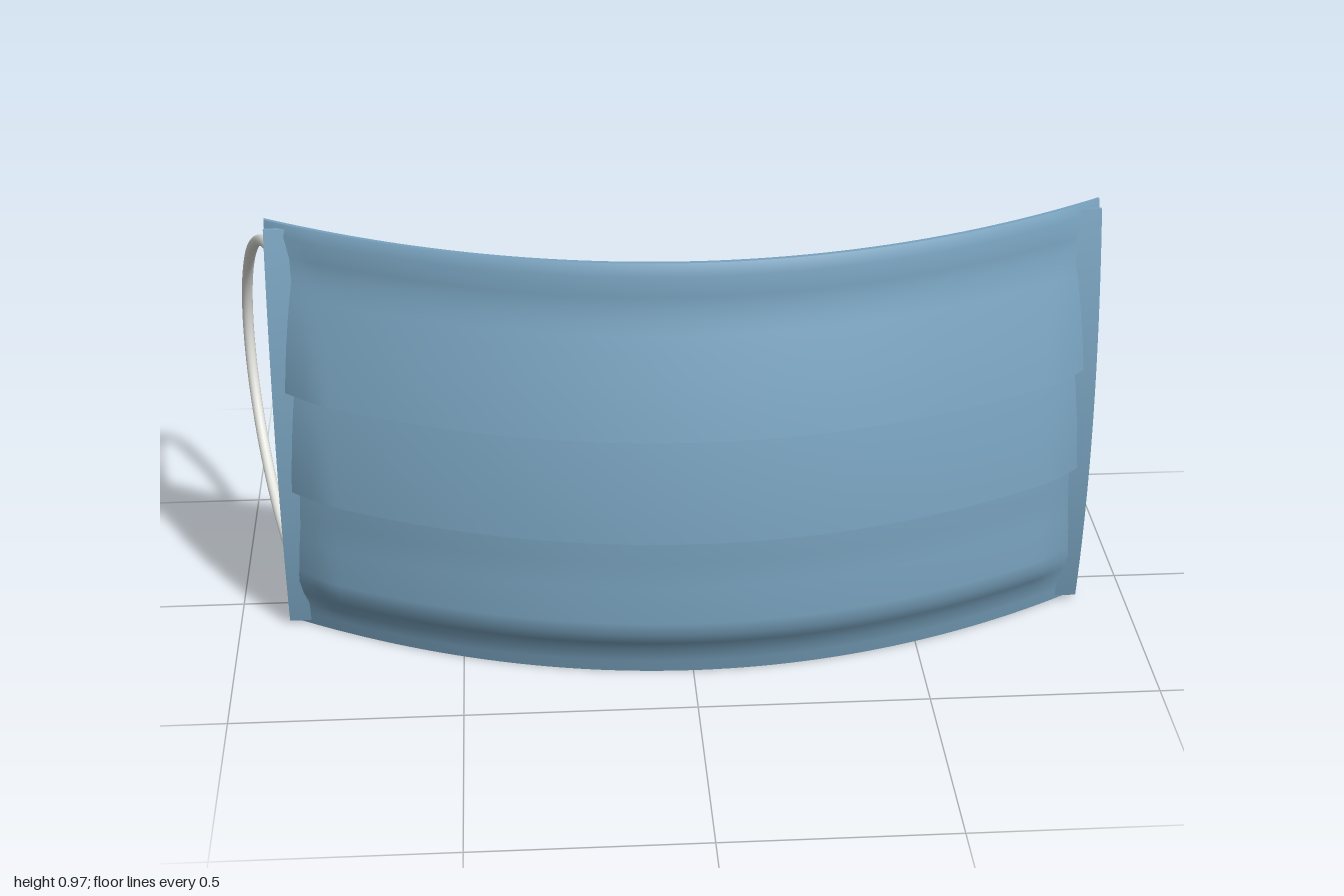
import * as THREE from 'three';

const HALF = 0.89, H = 0.97, THICK = 0.01, COLS = 72;

const blue = new THREE.MeshStandardMaterial({ color: 0x79a3bf });
blue.name = 'blue fabric';
const white = new THREE.MeshStandardMaterial({ color: 0xe4e4df });
white.name = 'off-white lining';

// vertical bulge, 0 at top and bottom, 0.06 at mid height
const bulge = (y) => 0.06 * (1 - ((y - H / 2) / (H / 2)) ** 2);
// pleats flatten out near the sides
const fade = (x) => 1 - 0.88 * THREE.MathUtils.clamp((Math.abs(x) - 0.79) / 0.1, 0, 1);
const point = (x, y, pleat, back) =>
  new THREE.Vector3(x, y, 0.35 - 0.36 * x * x + bulge(y) + pleat * fade(x) - back);

// key heights and pleat depths for each fold, top to bottom
const folds = [
  [[0.97, 0], [0.945, 0.008], [0.9, -0.004], [0.85, -0.006], [0.76, 0.008], [0.605, 0.034]],
  [[0.605, 0.001], [0.365, 0.034]],
  [[0.365, 0.003], [0.27, 0.01], [0.125, 0.033], [0.06, 0.002], [0, 0]],
];

// subdivide a fold so that it follows the bulge
function subdivide(keys) {
  const out = [keys[0]];
  for (let i = 1; i < keys.length; i++) {
    const [y0, p0] = keys[i - 1], [y1, p1] = keys[i];
    const n = Math.max(1, Math.round((y0 - y1) / 0.03));
    for (let k = 1; k <= n; k++) out.push([y0 + ((y1 - y0) * k) / n, p0 + ((p1 - p0) * k) / n]);
  }
  return out;
}

// smooth sheet through rows of points
function sheet(rows, name, material, parent, flip = false) {
  const w = rows[0].length, index = [];
  const g = new THREE.BufferGeometry().setFromPoints(rows.flat());
  for (let r = 0; r < rows.length - 1; r++) {
    for (let c = 0; c < w - 1; c++) {
      const a = r * w + c, b = a + 1, d = a + w, e = d + 1;
      if (flip) index.push(a, e, d, a, b, e);
      else index.push(a, d, e, a, e, b);
    }
  }
  g.setIndex(index);
  g.computeVertexNormals();
  const mesh = new THREE.Mesh(g, material);
  mesh.name = name;
  parent.add(mesh);
}

const row = ([y, p], back) =>
  Array.from({ length: COLS + 1 }, (_, i) => point(-HALF + (2 * HALF * i) / COLS, y, p, back));

export function createModel() {
  const model = new THREE.Group();
  model.name = 'pleatedFaceMask';
  const cover = new THREE.Group();
  cover.name = 'pleatedCover';
  model.add(cover);

  // pleated fabric: outer face, lining and the ledges between folds
  folds.forEach((keys, i) => {
    const f = subdivide(keys);
    sheet(f.map((k) => row(k, 0)), 'outerFold', blue, cover);
    sheet(f.map((k) => row(k, THICK)), 'innerFold', white, cover, true);
    if (i < folds.length - 1) {
      const ledge = [keys[keys.length - 1], folds[i + 1][0]];
      sheet(ledge.map((k) => row(k, 0)), 'outerLedge', blue, cover);
      sheet(ledge.map((k) => row(k, THICK)), 'innerLedge', white, cover, true);
    }
    // cut side edges
    for (const s of [1, -1]) {
      sheet(f.map(([y, p]) => [point(s * HALF, y, p, 0), point(s * HALF, y, p, THICK)]),
        'sideRim', blue, cover, s < 0);
    }
  });
  // top and bottom rims
  sheet([row([H, 0], THICK), row([H, 0], 0)], 'topRim', blue, cover);
  sheet([row([0, 0], 0), row([0, 0], THICK)], 'bottomRim', blue, cover);

  for (const s of [1, -1]) {
    const side = s > 0 ? 'left' : 'right';

    // flat binding strip, bowed forward at mid height
    const strip = new THREE.BoxGeometry(0.065, 0.95, 0.01, 1, 28, 1);
    const pos = strip.attributes.position;
    for (let i = 0; i < pos.count; i++) {
      const y = pos.getY(i) + H / 2;
      pos.setXYZ(i, pos.getX(i) + s * 0.8575, y, pos.getZ(i) + 0.09 + bulge(y));
    }
    strip.computeVertexNormals();
    const binding = new THREE.Mesh(strip, blue);
    binding.name = side + 'Binding';
    model.add(binding);

    // elastic ear loop: half ellipse in a plane leaning outwards
    const pts = [];
    const add = (y, z) => pts.push(new THREE.Vector3(s * (0.86 + (0.08 - z) * 0.25), y, z));
    add(0.868, 0.1);
    for (let i = 0; i <= 20; i++) {
      const a = (Math.PI * i) / 20;
      add(0.485 + 0.383 * Math.cos(a), 0.05 - 0.477 * Math.sin(a));
    }
    add(0.102, 0.1);
    const loop = new THREE.Mesh(
      new THREE.TubeGeometry(new THREE.CatmullRomCurve3(pts), 80, 0.0125, 12), white);
    loop.name = side + 'EarLoop';
    model.add(loop);
  }
  return model;
}
